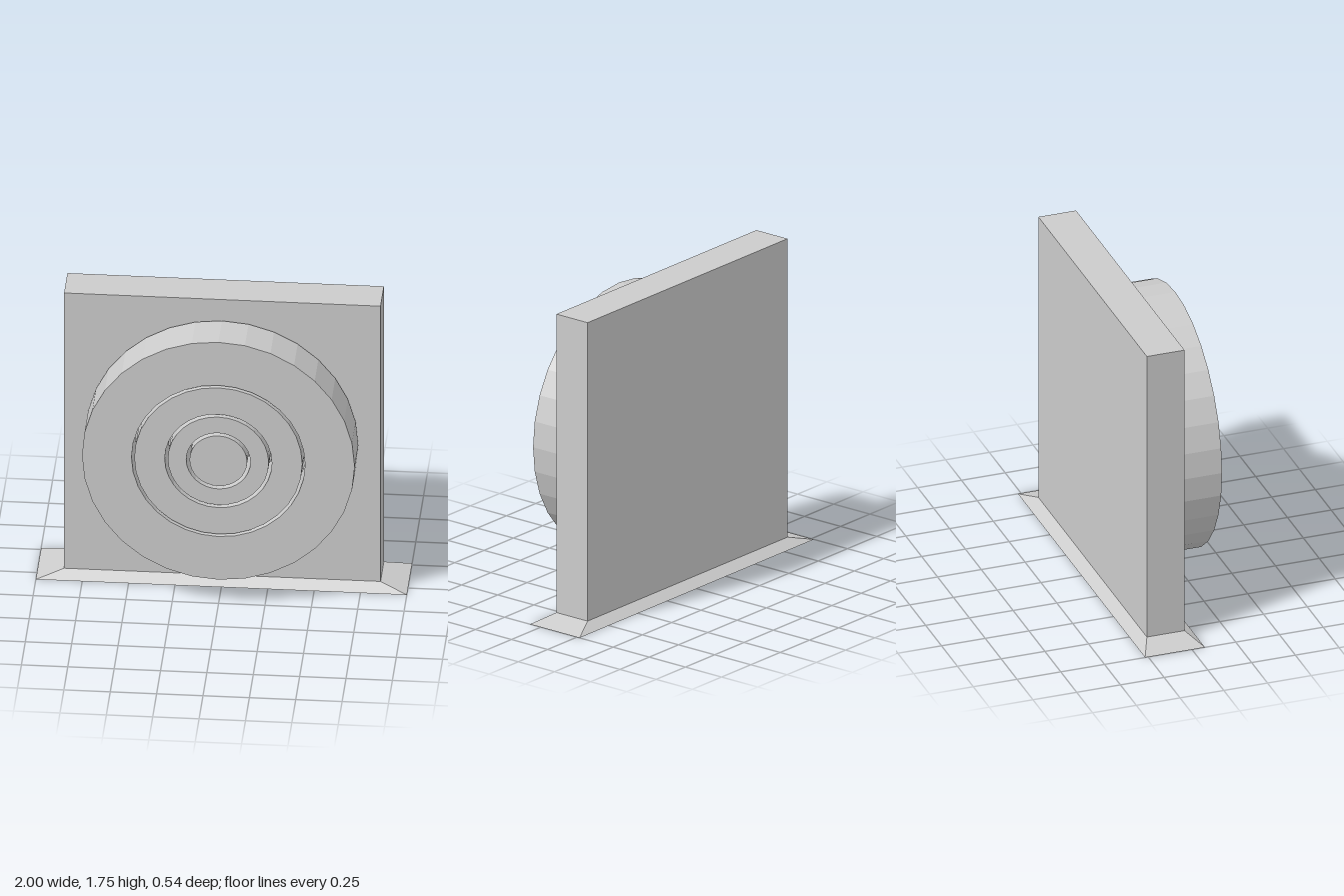
import * as THREE from 'three';

const material = new THREE.MeshStandardMaterial({ color: 0xcccccc, flatShading: true });
const SIDES = 32;
const CENTRE_Y = 0.8925;
const DISC_BACK = 0.035, DISC_FRONT = 0.268;

function addPart(group, name, geometry) {
  const mesh = new THREE.Mesh(geometry, material);
  mesh.name = name;
  group.add(mesh);
  return mesh;
}

// Regular polygon outline with a corner on each axis
function polygon(radius, PathType) {
  const points = [];
  for (let i = 0; i < SIDES; i++) {
    const a = (i / SIDES) * Math.PI * 2;
    points.push(new THREE.Vector2(Math.cos(a) * radius, Math.sin(a) * radius));
  }
  return new PathType(points);
}

// Flat ring, or a solid disc when the inner radius is 0
function ringGeometry(outer, inner) {
  const shape = polygon(outer, THREE.Shape);
  if (inner > 0) shape.holes.push(polygon(inner, THREE.Path));
  return new THREE.ExtrudeGeometry(shape, { depth: DISC_FRONT - DISC_BACK, bevelEnabled: false });
}

export function createModel() {
  const model = new THREE.Group();
  model.name = 'targetBoard';

  // Upright backing slab
  const slab = addPart(model, 'backingSlab', new THREE.BoxGeometry(1.706, 1.705, 0.215));
  slab.position.set(0, 0.04 + 1.705 / 2, -0.097);

  // Foot flaring out from the slab to the ground
  const footGeometry = new THREE.BoxGeometry(1.706, 0.04, 0.215);
  const p = footGeometry.attributes.position;
  for (let i = 0; i < p.count; i++) {
    if (p.getY(i) < 0) {
      p.setX(i, Math.sign(p.getX(i)) * 1);
      p.setZ(i, Math.sign(p.getZ(i)) * 0.171);
    }
  }
  footGeometry.computeVertexNormals();
  const foot = addPart(model, 'flaredFoot', footGeometry);
  foot.position.set(0, 0.02, -0.097);

  // Concentric target rings with narrow gaps between them
  const target = new THREE.Group();
  target.name = 'target';
  target.position.set(0, CENTRE_Y, DISC_BACK);
  model.add(target);
  const rings = [
    ['outerRing', 0.735, 0.468],
    ['middleRing', 0.453, 0.289],
    ['innerRing', 0.272, 0.173],
    ['bullseye', 0.155, 0],
  ];
  for (const [name, outer, inner] of rings) addPart(target, name, ringGeometry(outer, inner));

  return model;
}
